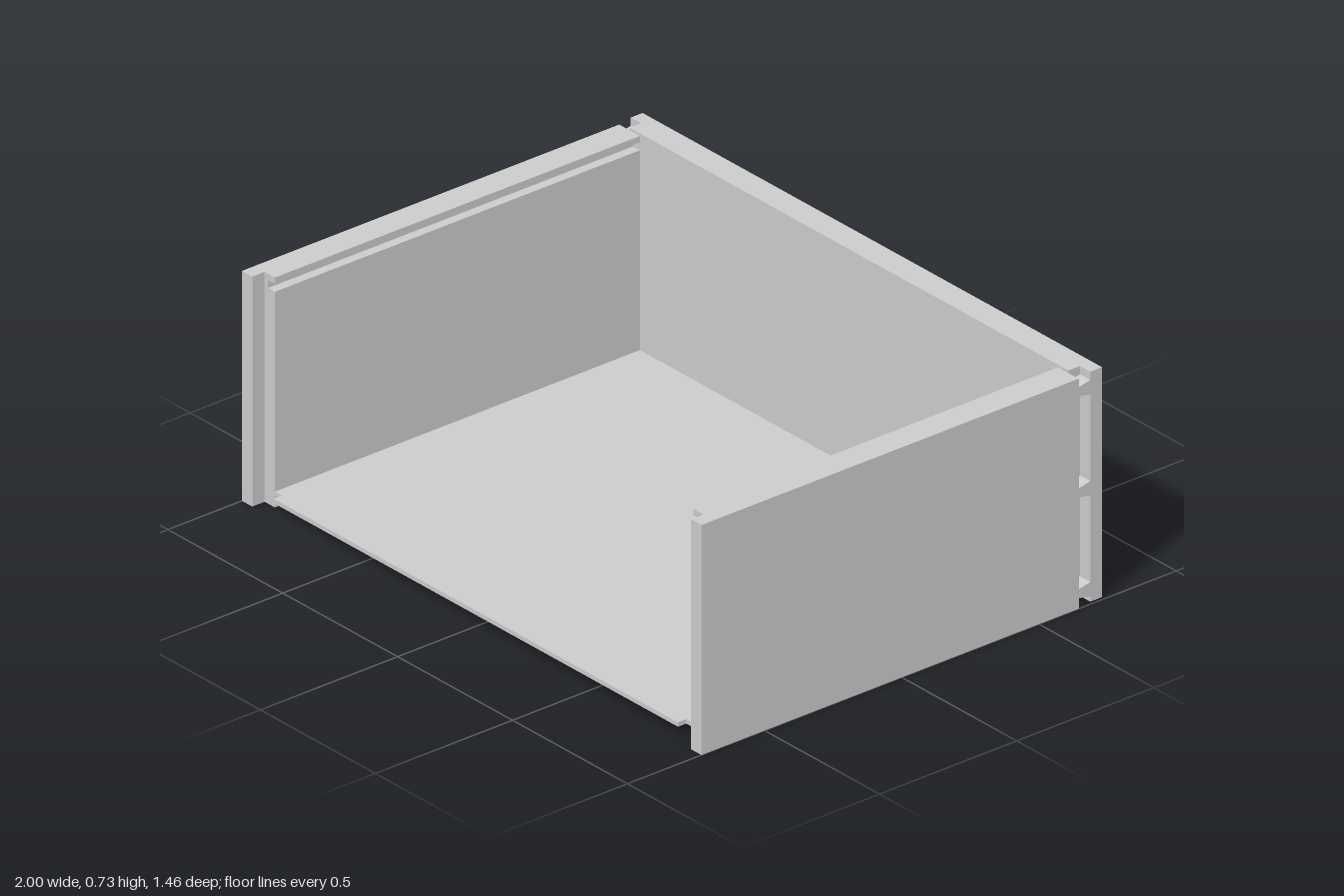
import * as THREE from 'three';

const material = new THREE.MeshStandardMaterial({ color: 0xcccccc, flatShading: true });

function add(parent, name, geometry) {
  const mesh = new THREE.Mesh(geometry, material);
  mesh.name = name;
  parent.add(mesh);
  return mesh;
}

// Box given by its two extreme corners
function box([x0, y0, z0], [x1, y1, z1]) {
  return new THREE.BoxGeometry(x1 - x0, y1 - y0, z1 - z0)
    .translate((x0 + x1) / 2, (y0 + y1) / 2, (z0 + z1) / 2);
}

function extrude(points, depth) {
  const shape = new THREE.Shape(points.map(([x, y]) => new THREE.Vector2(x, y)));
  return new THREE.ExtrudeGeometry(shape, { depth, bevelEnabled: false });
}

const IN = 0.91, MID = 0.955, OUT = 1;          // inner face, half thickness, outer face of the sides
const BACK = -0.73, SOCKET = -0.687, JOINT = -0.645; // back panel faces and socket depth
const STEP = 0.685, FRONT = 0.73;
const SIDE_TOP = 0.725, BACK_BOTTOM = 0.008, BACK_TOP = 0.733;

export function createModel() {
  const group = new THREE.Group();
  group.name = 'drawerBox';

  // Side panels: lid groove near the top of the inner face, rebated front edge
  for (const s of [1, -1]) {
    const side = new THREE.Group();
    side.name = s > 0 ? 'leftSide' : 'rightSide';
    const profile = [
      [IN, 0], [OUT, 0], [OUT, SIDE_TOP], [IN, SIDE_TOP],
      [IN, 0.705], [0.94, 0.705], [0.94, 0.68], [IN, 0.68],
    ].map(([x, y]) => [s * x, y]);
    add(side, 'sidePanel', extrude(profile, STEP - JOINT).translate(0, 0, JOINT));
    const tongue = [s * MID, s * OUT].sort((a, b) => a - b);
    add(side, 'frontTongue', box([tongue[0], 0, STEP], [tongue[1], SIDE_TOP, FRONT]));
    group.add(side);
  }

  // Back panel with dovetail pins at both ends
  const back = new THREE.Group();
  back.name = 'back';
  add(back, 'backPanel', box([-MID, BACK_BOTTOM, BACK], [MID, BACK_TOP, JOINT]));
  const comb = [[BACK, BACK_TOP], [BACK, BACK_BOTTOM], [SOCKET, BACK_BOTTOM]];
  for (const y of [0.047, 0.365, 0.684]) {
    // each pin narrows from its root to its tip
    comb.push([SOCKET, y - 0.023], [JOINT, y - 0.014], [JOINT, y + 0.014], [SOCKET, y + 0.023]);
  }
  comb.push([SOCKET, BACK_TOP]);
  for (const [name, x] of [['leftDovetails', OUT], ['rightDovetails', -MID]]) {
    add(back, name, extrude(comb, OUT - MID).rotateY(-Math.PI / 2).translate(x, 0, 0));
  }
  group.add(back);

  // Thin raised floor with notched front corners
  const plan = [
    [-IN, JOINT], [IN, JOINT], [IN, STEP], [0.88, STEP],
    [0.88, 0.715], [-0.88, 0.715], [-0.88, STEP], [-IN, STEP],
  ];
  add(group, 'floor', extrude(plan, 0.014).rotateX(Math.PI / 2).translate(0, 0.05, 0));

  return group;
}
